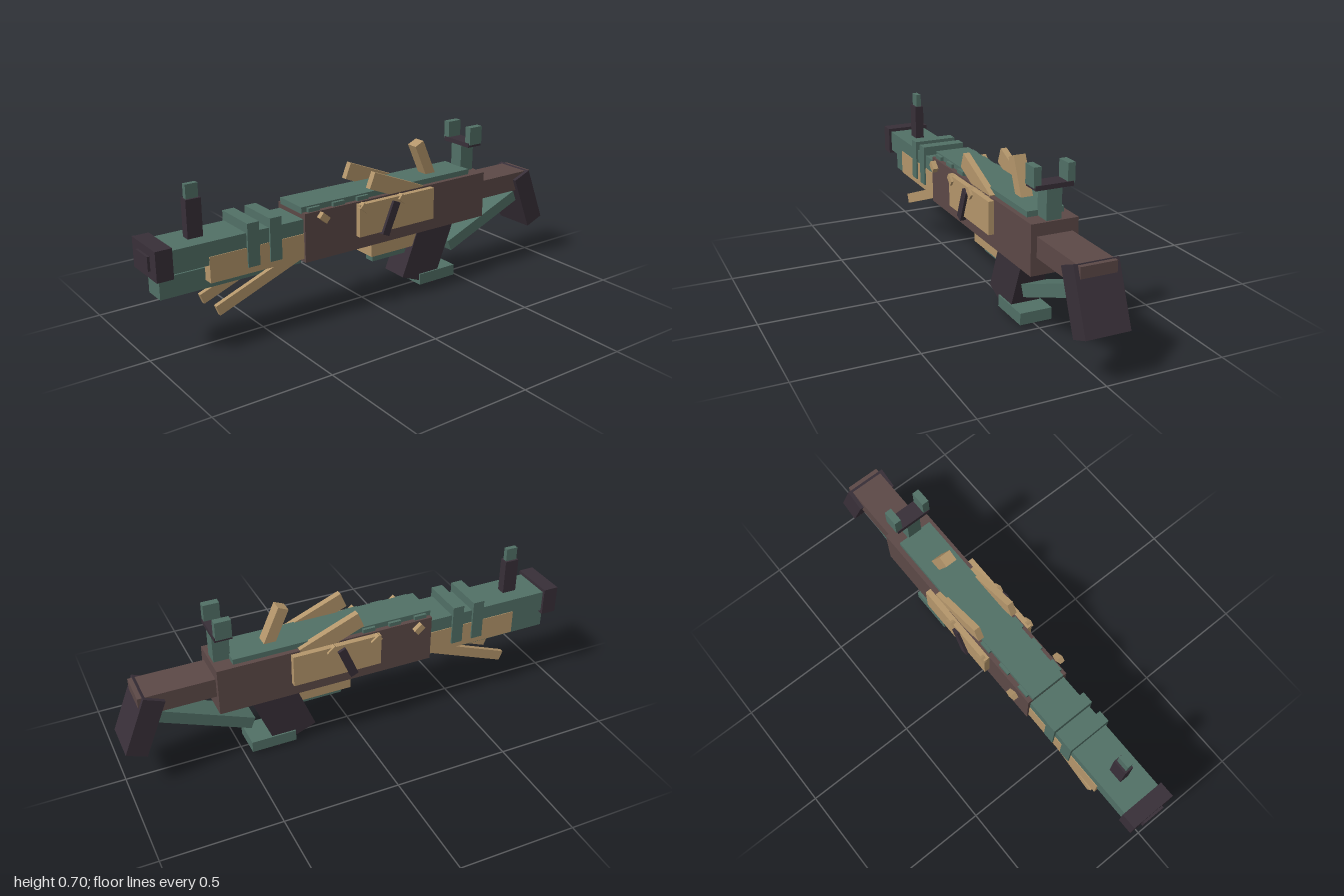
import * as THREE from 'three';

export function createModel() {
  const model = new THREE.Group();
  model.name = 'toyRifle';

  const paint = (name, color) => {
    const m = new THREE.MeshStandardMaterial({ color });
    m.name = name;
    return m;
  };
  const green = paint('green', 0x517066);
  const tan = paint('tan', 0xb4966b);
  const dark = paint('charcoal', 0x382f38);
  const brown = paint('brown', 0x5c4947);

  // Box from a centre and a size, tilted about the x axis
  const tilted = (name, mat, [x, y, z], [w, h, d], rx = 0) => {
    const mesh = new THREE.Mesh(new THREE.BoxGeometry(w, h, d), mat);
    mesh.name = name;
    mesh.position.set(x, y, z);
    mesh.rotation.x = rx;
    model.add(mesh);
  };
  // Upright box from its ranges
  const block = (name, mat, [x0, x1], [y0, y1], [z0, z1]) =>
    tilted(name, mat, [(x0 + x1) / 2, (y0 + y1) / 2, (z0 + z1) / 2],
      [Math.abs(x1 - x0), y1 - y0, z1 - z0]);
  // Upright box centred on x = 0, given its half width
  const mid = (name, mat, half, y, z) => block(name, mat, [-half, half], y, z);

  // Receiver and top cover
  mid('receiver', brown, 0.1, [0.288, 0.495], [-0.605, 0.35]);
  mid('topCover', green, 0.079, [0.49, 0.518], [-0.53, 0.353]);

  // Barrel, handguard and muzzle
  mid('barrel', green, 0.088, [0.376, 0.47], [0.34, 0.93]);
  mid('lowerTube', green, 0.048, [0.268, 0.354], [0.34, 0.96]);
  mid('handguard', tan, 0.091, [0.303, 0.41], [0.34, 0.77]);
  for (const z of [0.583, 0.483]) {
    mid('barrelBand', green, 0.098, [0.33, 0.51], [z - 0.026, z + 0.026]);
  }
  mid('muzzle', dark, 0.1, [0.362, 0.485], [0.922, 0.99]);
  mid('muzzlePlate', dark, 0.05, [0.394, 0.452], [0.985, 1]);

  // Front sight
  mid('frontSightPost', dark, 0.02, [0.46, 0.625], [0.756, 0.82]);
  mid('frontSightTip', green, 0.011, [0.625, 0.682], [0.762, 0.814]);

  // Rear sight
  mid('rearSightPost', green, 0.032, [0.49, 0.617], [-0.595, -0.525]);
  mid('rearSightBar', dark, 0.08, [0.617, 0.636], [-0.597, -0.523]);

  // Top lever, grip and lower parts
  tilted('topLever', tan, [0, 0.57, -0.33], [0.052, 0.2, 0.048], 0.42);
  mid('magazine', tan, 0.058, [0.213, 0.3], [-0.3, -0.01]);
  mid('lowerRail', green, 0.023, [0.174, 0.206], [-0.23, -0.04]);
  mid('railMount', tan, 0.02, [0.2, 0.22], [-0.22, -0.05]);
  tilted('grip', dark, [0, 0.192, -0.325], [0.126, 0.32, 0.188], -0.38);
  mid('gripFoot', green, 0.07, [0.021, 0.071], [-0.47, -0.272]);

  // Stock
  mid('stock', brown, 0.075, [0.36, 0.444], [-0.92, -0.6]);
  tilted('buttPlate', dark, [0, 0.309, -0.907], [0.184, 0.263, 0.091], 0.385);
  tilted('stockStrut', green, [0, 0.248, -0.665], [0.11, 0.052, 0.455], 0.39);

  // Mirrored side parts
  for (const s of [1, -1]) {
    block('rearSightProng', green, [s * 0.055, s * 0.086], [0.628, 0.707], [-0.594, -0.526]);
    tilted('bipodLeg', tan, [s * 0.067, 0.249, 0.545], [0.02, 0.045, 0.415], 0.37);
    tilted('wing', tan, [s * 0.086, 0.518, -0.112], [0.028, 0.072, 0.28], -0.385 * -1);
    block('sidePlate', tan, [s * 0.095, s * 0.125], [0.348, 0.488], [-0.293, 0.1]);
    tilted('sideLever', dark, [s * 0.125, 0.402, -0.055], [0.025, 0.148, 0.036], -0.4);
    for (const z of [0.276, 0.076, -0.122]) {
      tilted('peg', tan, [s * 0.123, 0.473, z], [0.023, 0.028, 0.043], -0.7);
    }
    for (const z of [0.3, 0.18, 0.06]) {
      block('coverStud', green, [s * 0.07, s * 0.092], [0.49, 0.512], [z - 0.028, z + 0.028]);
    }
  }
  // Tilts that rise toward the front use a negative angle
  model.traverse((o) => {
    if (o.name === 'wing') o.rotation.x = -0.385;
  });
  return model;
}
